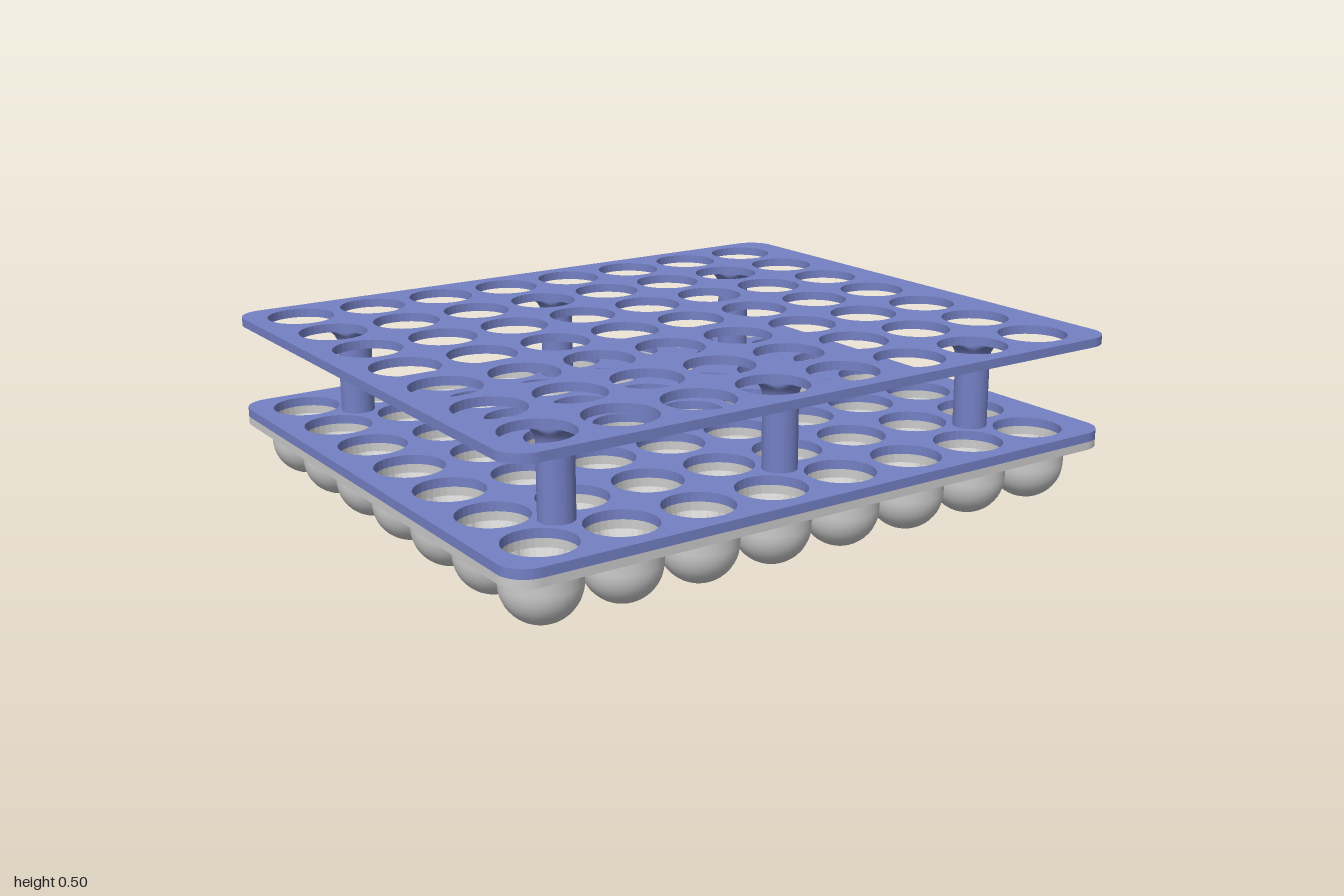
import * as THREE from 'three';

const COLS = 8, ROWS = 7, PITCH = 0.2373, HOLE = 0.1;
const CENTER_X = -0.0125; // the hole grid sits slightly off centre
const holeX = (i) => CENTER_X + (i - (COLS - 1) / 2) * PITCH;
const holeZ = (j) => (j - (ROWS - 1) / 2) * PITCH;

const blue = new THREE.MeshStandardMaterial({ color: 0x7480c4 });
const blueDouble = new THREE.MeshStandardMaterial({ color: 0x7480c4, side: THREE.DoubleSide });
const grey = new THREE.MeshStandardMaterial({ color: 0xcccccc, side: THREE.DoubleSide });
const greyFlat = new THREE.MeshStandardMaterial({ color: 0xcccccc, side: THREE.DoubleSide, flatShading: true });

function mesh(geometry, material, name) {
  const m = new THREE.Mesh(geometry, material);
  m.name = name;
  return m;
}

// Rounded plate pierced by the grid of round holes
function plateGeometry(bottom, top) {
  const w = 1, d = 0.857, r = 0.08;
  const shape = new THREE.Shape();
  shape.absarc(w - r, d - r, r, 0, Math.PI / 2);
  shape.absarc(-w + r, d - r, r, Math.PI / 2, Math.PI);
  shape.absarc(-w + r, -d + r, r, Math.PI, Math.PI * 1.5);
  shape.absarc(w - r, -d + r, r, Math.PI * 1.5, Math.PI * 2);
  for (let i = 0; i < COLS; i++) for (let j = 0; j < ROWS; j++) {
    const hole = new THREE.Path();
    hole.absarc(holeX(i), holeZ(j), HOLE, 0, Math.PI * 2, true);
    shape.holes.push(hole);
  }
  const g = new THREE.ExtrudeGeometry(shape, { depth: top - bottom, bevelEnabled: false, curveSegments: 16 });
  return g.rotateX(-Math.PI / 2).translate(0, bottom, 0);
}

// Outside of a cup: short cylinder running into a sphere, cut flat at the drain
function cupShellGeometry() {
  const R = 0.109, cy = 0.106;
  const pts = [];
  for (let k = 0; k <= 9; k++) {
    const a = 0.4 + (Math.PI / 2 - 0.4) * (k / 9);
    pts.push(new THREE.Vector2(R * Math.sin(a), cy - R * Math.cos(a)));
  }
  pts.push(new THREE.Vector2(R, 0.16));
  return new THREE.LatheGeometry(pts, 32);
}

// Inside of a cup: round mouth, five pads leaving a star, floor with a drain
function cupLinerGeometry() {
  const N = 40, per = 4;
  const star = (k) => {
    const r = k % 2 ? 0.056 : 0.097, a = -Math.PI / 2 + k * Math.PI / 5;
    return new THREE.Vector2(r * Math.cos(a), r * Math.sin(a));
  };
  const rings = [
    { y: 0.18, r: HOLE }, { y: 0.155, r: HOLE }, { y: 0.11, r: 0 },
    { y: 0.06, r: 0.058, blend: 0.35 }, { y: 0.035, r: 0.046 },
    { y: 0.03, r: 0.038 }, { y: 0.006, r: 0.043 },
  ];
  const pos = [], index = [];
  rings.forEach((ring, q) => {
    for (let s = 0; s <= N; s++) {
      const k = Math.floor(s / per);
      const p = star(k).lerp(star(k + 1), (s % per) / per);
      const round = p.clone().setLength(ring.r || 1);
      if (ring.r) p.copy(round.lerp(p, ring.blend || 0));
      pos.push(p.x, ring.y, p.y);
      if (q && s) {
        const b = q * (N + 1) + s, a = b - N - 1;
        index.push(a - 1, a, b, a - 1, b, b - 1);
      }
    }
  });
  const g = new THREE.BufferGeometry();
  g.setAttribute('position', new THREE.Float32BufferAttribute(pos, 3));
  g.setIndex(index);
  g.computeVertexNormals();
  return g;
}

// Post with a flare at the top, trimmed where it meets the neighbouring holes
function postGeometry() {
  const r = 0.05, flare = 0.055, top = 0.468;
  const pts = [new THREE.Vector2(r, 0.2)];
  for (let k = 0; k <= 8; k++) {
    const a = (k / 8) * Math.PI / 2;
    pts.push(new THREE.Vector2(r + flare * (1 - Math.cos(a)), top - flare + flare * Math.sin(a)));
  }
  const g = new THREE.LatheGeometry(pts, 48);
  const p = g.attributes.position, h = PITCH / 2;
  for (let i = 0; i < p.count; i++) {
    const x = p.getX(i), z = p.getZ(i), len = Math.hypot(x, z);
    const b = h * (Math.abs(x) + Math.abs(z)) / len;
    const disc = b * b - (2 * h * h - HOLE * HOLE);
    if (disc < 0) continue;
    const scale = Math.min(len, b - Math.sqrt(disc)) / len;
    p.setX(i, x * scale);
    p.setZ(i, z * scale);
  }
  g.computeVertexNormals();
  return g;
}

export function createModel() {
  const model = new THREE.Group();
  model.name = 'plantingTray';
  const tray = new THREE.Group();
  tray.name = 'tray';
  tray.rotation.x = -0.0065; // slight lean towards the back
  model.add(tray);

  // Stacked plates
  tray.add(mesh(plateGeometry(0.156, 0.18), grey, 'cupPlate'));
  tray.add(mesh(plateGeometry(0.18, 0.207), blue, 'lowerPlate'));
  tray.add(mesh(plateGeometry(0.466, 0.492), blue, 'upperPlate'));

  // Cups under every hole
  const shell = cupShellGeometry(), liner = cupLinerGeometry();
  for (let i = 0; i < COLS; i++) for (let j = 0; j < ROWS; j++) {
    const cup = new THREE.Group();
    cup.name = 'cup';
    cup.position.set(holeX(i), 0, holeZ(j));
    cup.add(mesh(shell, grey, 'cupShell'), mesh(liner, greyFlat, 'cupLiner'));
    tray.add(cup);
  }

  // Six posts between the plates, with sockets below
  const post = postGeometry();
  const socket = new THREE.CylinderGeometry(0.055, 0.055, 0.03, 32);
  for (const x of [-3, 0, 3]) for (const z of [-2.5, 2.5]) {
    const p = mesh(post, blueDouble, 'post');
    p.position.set(CENTER_X + x * PITCH, 0, z * PITCH);
    const s = mesh(socket, grey, 'postSocket');
    s.position.set(p.position.x, 0.146, p.position.z);
    tray.add(p, s);
  }
  return model;
}
